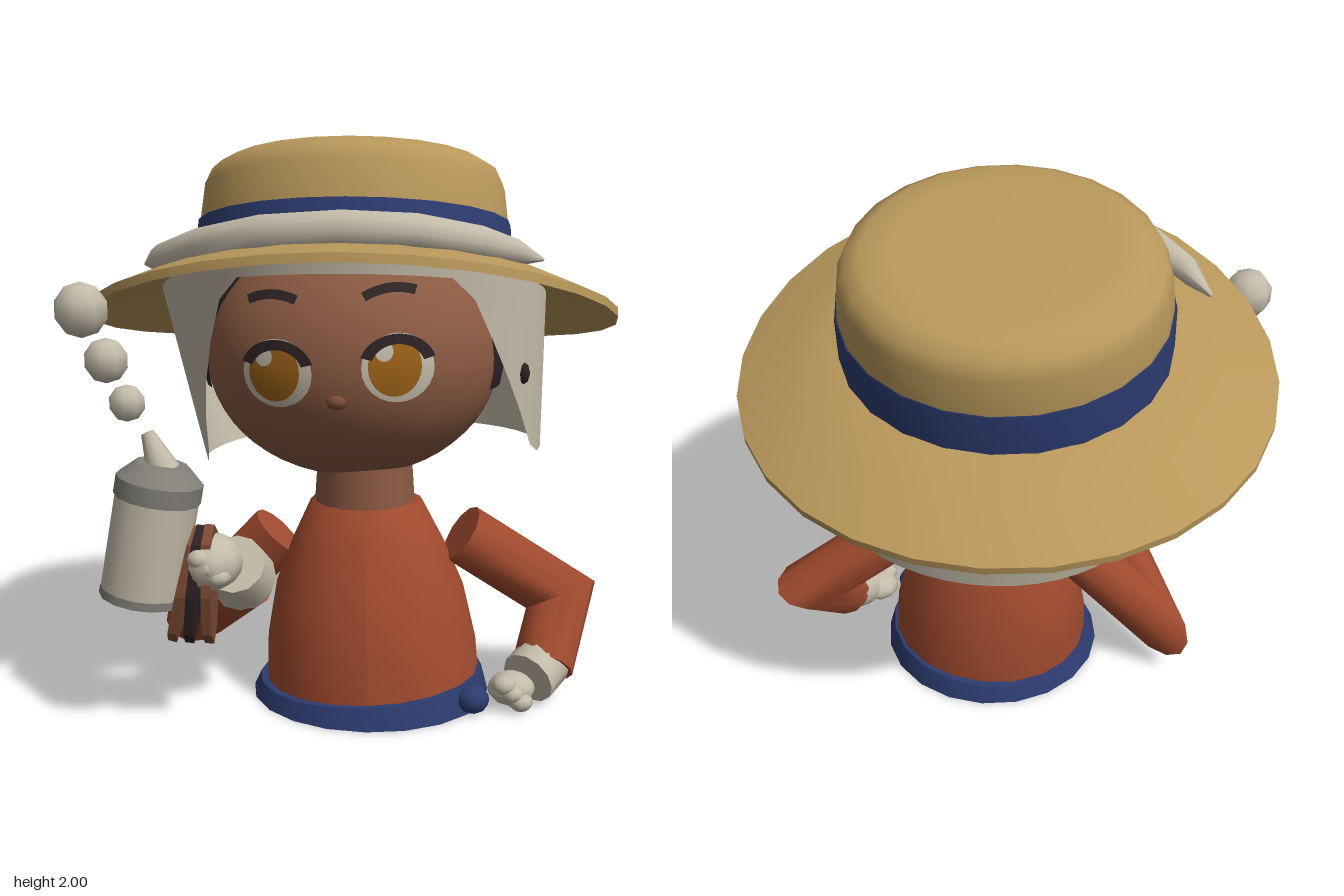
import * as THREE from 'three';
import { toCreasedNormals } from 'three/addons/utils/BufferGeometryUtils.js';

const colours = {
  straw: 0xb8975a, cream: 0xc4bcaa, rust: 0xa04a2e, blue: 0x2c3c70, skin: 0x8a5a42,
  dark: 0x2c2224, amber: 0x9c6218, grey: 0x827f78, brown: 0x7c4a34,
};

export function createModel() {
  const model = new THREE.Group();
  const mats = {};
  for (const [name, color] of Object.entries(colours)) {
    mats[name] = new THREE.MeshStandardMaterial({ color });
    mats[name].name = name;
  }
  // open cloth and hair surfaces show both sides
  for (const n of ['cream', 'rust', 'blue', 'dark']) mats[n].side = THREE.DoubleSide;

  const add = (name, geo, mat, parent = model) => {
    const mesh = new THREE.Mesh(geo, mats[mat]);
    mesh.name = name;
    parent.add(mesh);
    return mesh;
  };
  const lathe = (pts, seg) => new THREE.LatheGeometry(pts.map((p) => new THREE.Vector2(p[0], p[1])), seg);
  const crease = (g, a = 0.7) => toCreasedNormals(g, a);
  const bend = (g, rule) => {
    const p = g.attributes.position, v = new THREE.Vector3();
    for (let i = 0; i < p.count; i++) {
      v.fromBufferAttribute(p, i);
      rule(v);
      p.setXYZ(i, v.x, v.y, v.z);
    }
    g.computeVertexNormals();
    return g;
  };
  const ball = (name, mat, pos, size, parent, w = 10, h = 8) => {
    const m = add(name, new THREE.SphereGeometry(1, w, h), mat, parent);
    m.position.set(...pos);
    m.scale.set(...size);
    return m;
  };
  const surface = (pos, idx) => {
    const g = new THREE.BufferGeometry();
    g.setAttribute('position', new THREE.Float32BufferAttribute(pos, 3));
    g.setIndex(idx);
    g.computeVertexNormals();
    return g;
  };
  // round tube through corner points with mitred bends and closed ends;
  // ref is the normal of the plane it bends in
  const sweep = (points, radii, ref, sides = 12) => {
    const P = points.map((p) => new THREE.Vector3(...p)), n = P.length;
    const rings = P.map((p, i) => {
      const t = new THREE.Vector3();
      if (i > 0) t.add(p.clone().sub(P[i - 1]).normalize());
      if (i < n - 1) t.add(P[i + 1].clone().sub(p).normalize());
      const mitre = i > 0 && i < n - 1 ? Math.min(2 / t.length(), 1.65) : 1;
      return [p, radii[i], t.normalize(), mitre];
    });
    rings.unshift([P[0], 0, rings[0][2], 1]);
    rings.push([P[n - 1], 0, rings[n][2], 1]);
    const pos = [], idx = [];
    rings.forEach(([p, r, t, mitre], i) => {
      const s = new THREE.Vector3(...ref).cross(t).normalize(), u = t.clone().cross(s);
      for (let k = 0; k < sides; k++) {
        const a = (k / sides) * Math.PI * 2;
        const v = p.clone().addScaledVector(s, r * mitre * Math.cos(a)).addScaledVector(u, r * Math.sin(a));
        pos.push(v.x, v.y, v.z);
        if (i === rings.length - 1) continue;
        const A = i * sides + k, B = i * sides + ((k + 1) % sides);
        idx.push(A, B, A + sides, B, B + sides, A + sides);
      }
    });
    return crease(surface(pos, idx), 0.9);
  };

  // torso, leaning a little, open below
  const lean = (v) => { v.x += 0.08 - 0.04 * v.y; v.z = v.z * 0.91 + 0.09 - 0.06 * v.y; };
  add('torso', bend(lathe([[0.395, 0.01], [0.385, 0.2], [0.345, 0.4], [0.28, 0.56], [0.205, 0.71], [0.15, 0.72]], 20), lean), 'rust');
  add('belt', crease(bend(lathe([[0.41, 0], [0.435, 0], [0.41, 0.075], [0.385, 0.075], [0.41, 0]], 20), (v) => {
    if (v.y > 0.01) v.y += 0.02 * v.x / 0.4;
    v.x += 0.07; v.z = v.z * 0.94 + 0.09;
  })), 'blue');
  ball('beltKnot', 'blue', [0.44, 0.05, 0.31], [0.06, 0.05, 0.06]);
  const neck = add('neck', new THREE.CylinderGeometry(0.17, 0.185, 0.22, 16), 'skin');
  neck.position.set(0.045, 0.79, 0.05);

  // arms with cuffs
  add('leftSleeve', sweep([[0.4, 0.59, 0.06], [0.78, 0.33, -0.03], [0.7, 0.12, 0.16]], [0.11, 0.112, 0.11], [0.68, 0.64, 0.96]), 'rust');
  add('leftCuff', sweep([[0.71, 0.14, 0.14], [0.64, 0.1, 0.23]], [0.1, 0.1], [0, 0, 1]), 'cream');
  add('rightSleeve', sweep([[-0.28, 0.57, 0], [-0.59, 0.24, -0.02], [-0.37, 0.48, 0.3]], [0.11, 0.112, 0.115], [-1, 1, 0]), 'rust');
  add('rightCuff', sweep([[-0.375, 0.475, 0.29], [-0.385, 0.56, 0.4]], [0.12, 0.105], [1, 0, 0]), 'cream');

  // gloved hands
  const hand = (name, pos, size) => {
    const g = new THREE.Group();
    g.name = name;
    g.position.set(...pos);
    model.add(g);
    ball('palm', 'cream', [0, 0, 0], size, g);
    for (let i = 0; i < 3; i++)
      ball('finger', 'cream', [-0.03 + 0.03 * i, 0.03 - 0.03 * i, size[2] * 0.62], [0.045, 0.035, 0.045], g, 8, 6);
  };
  hand('leftHand', [0.58, 0.07, 0.25], [0.085, 0.06, 0.08]);
  hand('rightHand', [-0.45, 0.59, 0.47], [0.105, 0.095, 0.125]);

  // hanging strips held in the right hand
  const half = [[0.08, 0.08], [0.09, -0.1], [0.06, -0.24]];
  const outline = [[0, 0.13], ...half.map(([a, b]) => [-a, b]), [0, -0.29], ...half.reverse()];
  [[-0.475, -0.02, 'brown'], [-0.515, -0.12, 'dark'], [-0.54, -0.24, 'brown']].forEach(([x, tilt, mat]) => {
    const s = new THREE.Shape(outline.map((p) => new THREE.Vector2(...p)));
    const m = add('strip', new THREE.ExtrudeGeometry(s, { depth: 0.032, bevelEnabled: false }), mat);
    m.position.set(x, 0.59, 0.475);
    m.rotation.set(0, Math.PI / 2, tilt, 'ZYX');
  });

  // bottle with bubbles
  const bottle = new THREE.Group();
  bottle.name = 'bottle';
  bottle.position.set(-0.7, 0.455, 0.455);
  bottle.rotation.z = -0.18;
  model.add(bottle);
  add('bottleBody', crease(lathe([[0, 0], [0.142, 0], [0.142, 0.38]], 14)), 'cream', bottle);
  add('bottleBase', lathe([[0.145, 0], [0.145, 0.03]], 14), 'grey', bottle);
  add('bottleShoulder', crease(lathe([[0.14, 0.355], [0.148, 0.355], [0.148, 0.42], [0.09, 0.475], [0, 0.475]], 14), 0.5), 'grey', bottle);
  const nozzle = add('nozzle', new THREE.CylinderGeometry(0.022, 0.058, 0.14, 10), 'cream', bottle);
  nozzle.position.set(-0.03, 0.51, 0);
  nozzle.rotation.z = 0.55;
  [[-0.715, 1.135, 0.062], [-0.78, 1.275, 0.075], [-0.857, 1.44, 0.092]].forEach(([x, y, r]) =>
    ball('bubble', 'cream', [x, y, 0.51], [r, r, r], model, 8, 5));

  // head
  const H = { x: 0.53, y: 0.44, z: 0.48, cy: 1.24 };
  ball('head', 'skin', [0, H.cy, 0], [H.x, H.y, H.z], model, 40, 28);
  const hair = (name, p0, pl, tl, k) => {
    const m = add(name, new THREE.SphereGeometry(k, 24, 14, p0, pl, 0, tl), 'dark');
    m.position.y = H.cy;
    m.scale.set(H.x, H.y, H.z);
  };
  hair('darkHair', Math.PI - 0.42, Math.PI + 0.84, Math.PI * 0.57, 1.03);
  hair('darkHairLock', Math.PI * 1.25, Math.PI * 0.67, Math.PI * 0.75, 1.04);
  ball('nose', 'brown', [-0.03, 1.135, 0.462], [0.035, 0.025, 0.03]);

  // painted face details, wrapped onto the head
  const paint = (name, geo, mat, x, y, sx, sy, turn, off) => {
    geo.rotateZ(turn).scale(sx, sy, 1).translate(x, y, 0);
    add(name, bend(geo, (v) => {
      v.z = H.z * Math.sqrt(Math.max(0, 1 - (v.x / H.x) ** 2 - ((v.y - H.cy) / H.y) ** 2)) + off;
    }), mat);
  };
  const disc = () => new THREE.RingGeometry(0, 1, 24, 4);
  const arc = (r0, r1, a, b) => new THREE.RingGeometry(r0, r1, 16, 1, a, b - a);
  [[-0.23, 1.225, -0.25, 1.448, 0.03], [0.172, 1.25, 0.165, 1.475, 0.12]].forEach(([x, y, bx, by, turn]) => {
    paint('eyeWhite', disc(), 'cream', x, y, 0.12, 0.115, 0, 0.005);
    paint('iris', disc(), 'amber', x - 0.01, y + 0.005, 0.088, 0.1, 0, 0.008);
    paint('eyeGlint', disc(), 'cream', x - 0.045, y + 0.055, 0.03, 0.032, 0, 0.011);
    paint('eyelash', arc(0.78, 1.13, 0.3, 2.85), 'dark', x, y + 0.005, 0.113, 0.095, 0, 0.013);
    paint('eyebrow', arc(0.197, 0.228, 1.15, 1.99), 'dark', bx, by - 0.18, 1, 1, turn, 0.007);
  });

  // pale curtain of cloth below the brim, open at the face
  const pos = [], idx = [], N = 48, rad = Math.PI / 180;
  for (let i = 0; i <= N; i++) {
    const deg = -180 + (360 * i) / N, s = Math.sin(deg * rad), c = Math.cos(deg * rad);
    const x = 0.69 * s, zz = 0.645 * c, top = 1.482 + 0.2 * zz;
    const f = THREE.MathUtils.clamp((Math.abs(deg) - 34) / 36, 0, 1);
    const hem = (top - 0.045) * (1 - f) + (0.89 + 0.03 * s) * f;
    const k = 1 - (0.1 - 0.09 * s + 0.06 * Math.max(0, -c)) * (top - hem) / 0.55;
    pos.push(x, top, zz - 0.01, x * k, hem, zz * k - 0.01);
    if (i < N) idx.push(2 * i, 2 * i + 1, 2 * i + 2, 2 * i + 1, 2 * i + 3, 2 * i + 2);
  }
  add('neckCurtain', surface(pos, idx), 'cream');

  // straw hat, tipped back
  const hat = new THREE.Group();
  hat.name = 'hat';
  hat.position.set(0, 1.56, -0.03);
  hat.rotation.x = -0.2;
  hat.scale.z = 0.94;
  model.add(hat);
  add('brim', crease(bend(lathe([[0.5, -0.035], [0.75, -0.085], [0.94, -0.15], [0.94, -0.12], [0.75, -0.05], [0.56, 0], [0.5, 0]], 28),
    (v) => { v.y += 0.025 * v.z - 0.07 * v.x * v.x; v.z += 0.006; })), 'straw', hat);
  add('crown', lathe([[0.563, -0.03], [0.556, 0.14], [0.542, 0.27], [0.517, 0.325], [0.46, 0.36], [0.36, 0.372], [0, 0.375]], 24), 'straw', hat);
  add('hatBand', lathe([[0.57, -0.04], [0.564, 0.14], [0.55, 0.14]], 24), 'blue', hat);

  // padded roll on the front of the brim
  add('brimRoll', sweep([[-0.7, 1.575, 0.24], [-0.61, 1.6, 0.38], [-0.45, 1.645, 0.53], [-0.24, 1.685, 0.635], [0, 1.7, 0.668],
    [0.22, 1.69, 0.64], [0.42, 1.655, 0.55], [0.54, 1.625, 0.46], [0.64, 1.6, 0.38]],
  [0.006, 0.05, 0.062, 0.065, 0.065, 0.065, 0.06, 0.045, 0.006], [0, 1, 0], 10), 'cream');

  // dark locks peeping out beside the crown and the curtain
  ball('hairTuft', 'dark', [0.49, 1.62, 0.25], [0.05, 0.035, 0.065]);
  ball('hairTuft', 'dark', [-0.52, 1.61, 0.14], [0.03, 0.03, 0.05]);
  ball('earring', 'dark', [0.59, 1.215, 0.3], [0.025, 0.04, 0.025], model, 6, 4);

  return model;
}
